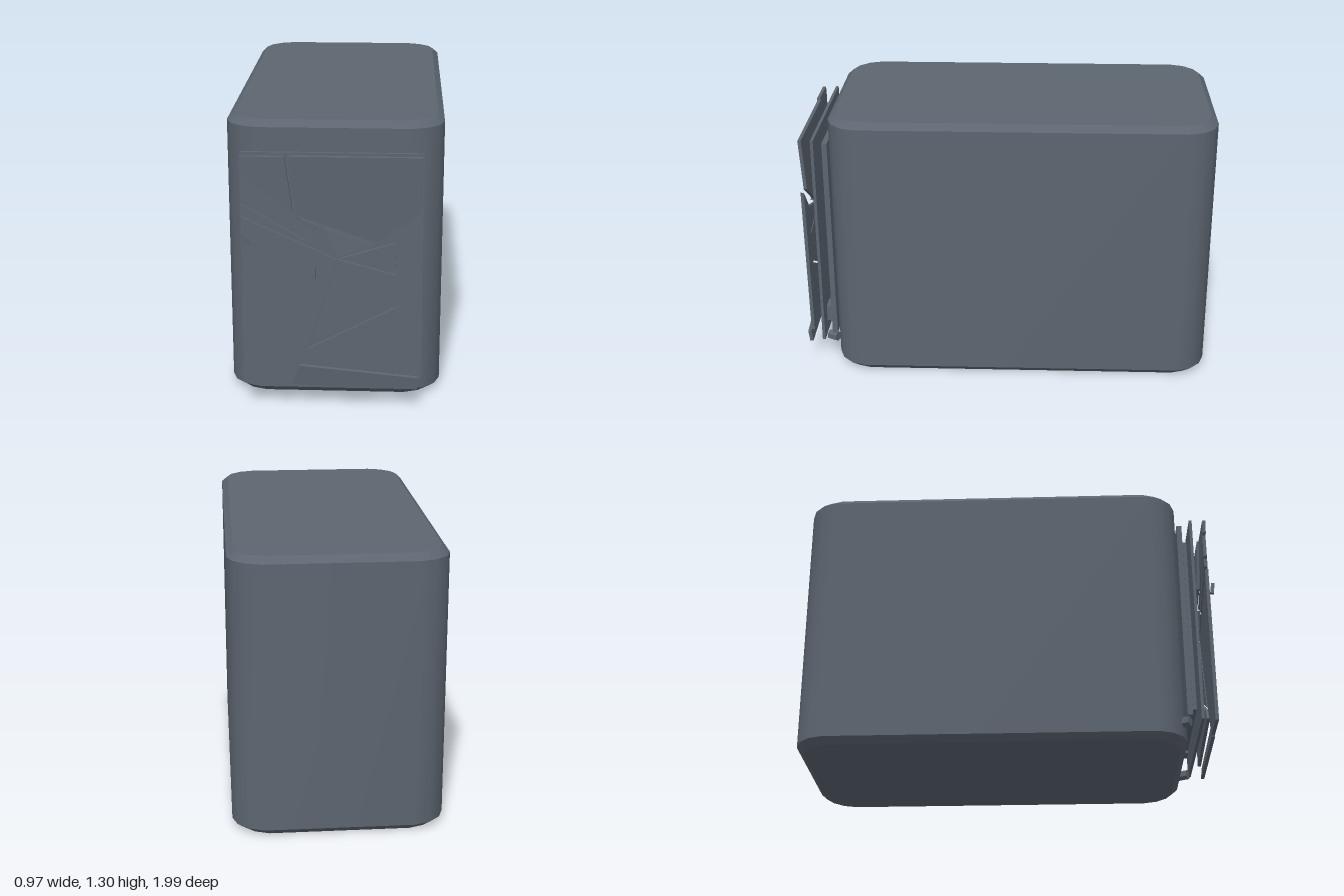
import * as THREE from 'three';
import { toCreasedNormals } from 'three/addons/utils/BufferGeometryUtils.js';

const slate = new THREE.MeshStandardMaterial({ color: 0x5c6570 });
slate.name = 'slate grey';

// Closed solid with rounded plan corners and a bevelled top and bottom rim
function bodyGeometry() {
  const quarter = [[0.485, 0.77], [0.462, 0.835], [0.41, 0.885], [0.34, 0.91]];
  const zMid = -0.09;
  const outline = (inset) => {
    const q = quarter.map(([x, z]) => [x * (1 - inset / 0.485), z * (1 - inset / 0.91)]);
    const back = [...q].reverse();
    return [
      ...q, ...back.map(([x, z]) => [-x, z]),
      ...q.map(([x, z]) => [-x, -z]), ...back.map(([x, z]) => [x, -z]),
    ];
  };
  const rings = [[0, 0.03], [0.03, 0], [1.27, 0], [1.3, 0.03]];
  const pos = [], idx = [], n = 16;
  for (const [y, inset] of rings) for (const [x, z] of outline(inset)) pos.push(x, y, z + zMid);
  for (let r = 0; r < 3; r++) {
    for (let i = 0; i < n; i++) {
      const a = r * n + i, b = r * n + (i + 1) % n;
      idx.push(a, a + n, b, b, a + n, b + n);
    }
  }
  // Bottom and top caps
  for (let i = 1; i < n - 1; i++) {
    idx.push(0, i, i + 1);
    idx.push(3 * n, 3 * n + i + 1, 3 * n + i);
  }
  const g = new THREE.BufferGeometry();
  g.setAttribute('position', new THREE.Float32BufferAttribute(pos, 3));
  g.setIndex(idx);
  return toCreasedNormals(g, 0.6);
}

// Pull every edge of a counter-clockwise outline inward, leaving a crack between neighbours
function insetOutline(points, gap) {
  const n = points.length;
  const normals = points.map((p, i) => {
    const d = points[(i + 1) % n].clone().sub(p).normalize();
    return new THREE.Vector2(-d.y, d.x);
  });
  return points.map((p, i) => {
    const a = normals[(i + n - 1) % n], b = normals[i];
    return p.clone().addScaledVector(a.clone().add(b), gap / Math.max(1 + a.dot(b), 0.2));
  });
}

export function createModel() {
  const model = new THREE.Group();
  const add = (name, geometry, parent = model) => {
    const mesh = new THREE.Mesh(geometry, slate);
    mesh.name = name;
    parent.add(mesh);
    return mesh;
  };
  const box = (name, x0, x1, y0, y1, z0, z1) =>
    add(name, new THREE.BoxGeometry(x1 - x0, y1 - y0, z1 - z0))
      .position.set((x0 + x1) / 2, (y0 + y1) / 2, (z0 + z1) / 2);

  add('housing', bodyGeometry());

  // Stacked layers behind the broken front
  box('backPanel', -0.38, 0.38, 0.15, 1.16, 0.825, 0.85);
  box('innerPanel', -0.32, 0.22, 0.2, 1.1, 0.857, 0.875);
  box('connector', 0.26, 0.34, 0.2, 0.28, 0.848, 0.88);
  box('middlePlate', -0.4, 0.395, 0.12, 1.18, 0.886, 0.9);

  // Small loose bolts at the lower corners
  for (const [x, y, z] of [[-0.4, 0.105, 0.81], [0.315, 0.1, 0.855]]) {
    const bolt = add('bolt', toCreasedNormals(new THREE.CylinderGeometry(0.025, 0.025, 0.05, 6), 0.5));
    bolt.position.set(x, y, z);
    bolt.rotation.set(Math.PI / 2, 0, 0.5);
  }

  // Crack junctions of the broken front sheet; o is the point of impact
  const nodes = {
    a: [-0.405, 1.185], b: [-0.2, 1.185], c: [0.395, 1.185], d: [0.395, 0.93],
    e: [0.2, 0.785], f: [-0.05, 0.87], g: [-0.08, 0.83], h: [-0.165, 0.915],
    i: [-0.405, 1.107], j: [-0.405, 0.975], k: [-0.405, 0.915], m: [-0.12, 0.8],
    o: [0.02, 0.72], p: [0.275, 0.8], q: [0.285, 0.65], r: [0.285, 0.5],
    s: [-0.12, 0.285], t: [-0.15, 0.22], u: [0.39, 0.165], v: [0.385, 0.095],
    w: [-0.19, 0.11], x: [-0.405, 0.11],
  };
  // Each shard: its junctions in order, depth and tilt
  const shards = [
    ['aigfhb', 0.955, 0.03], ['ijmg', 0.955, 0], ['jkm', 0.955, 0], ['gmo', 0.955, 0],
    ['kxwtso', 0.957, 0], ['bhfedc', 0.94, 0.06], ['foe', 0.95, -0.06], ['oqp', 0.955, 0],
    ['osrq', 0.955, 0], ['studpqr', 0.95, 0.01], ['twvu', 0.965, 0.12],
  ];
  const sheet = new THREE.Group();
  sheet.name = 'brokenSheet';
  model.add(sheet);
  for (const [path, z, tilt] of shards) {
    const points = insetOutline([...path].map((key) => new THREE.Vector2(...nodes[key])), 0.006);
    const geometry = new THREE.ExtrudeGeometry(new THREE.Shape(points), { depth: 0.016, bevelEnabled: false });
    geometry.computeBoundingBox();
    const mid = geometry.boundingBox.getCenter(new THREE.Vector3());
    geometry.translate(-mid.x, -mid.y, -mid.z);
    const shard = add('shard', geometry, sheet);
    shard.position.set(mid.x, mid.y, z);
    shard.rotation.x = tilt;
  }

  // Loose chips lying on the sheet
  for (const [x, y, z, turn] of [[-0.09, 0.65, 0.962, 0.5], [-0.375, 0.8, 0.98, 1.4]]) {
    const chip = add('chip', toCreasedNormals(new THREE.CylinderGeometry(0.035, 0.035, 0.016, 3), 0.5), sheet);
    chip.position.set(x, y, z);
    chip.rotation.set(Math.PI / 2, turn, 0.1);
  }
  return model;
}
